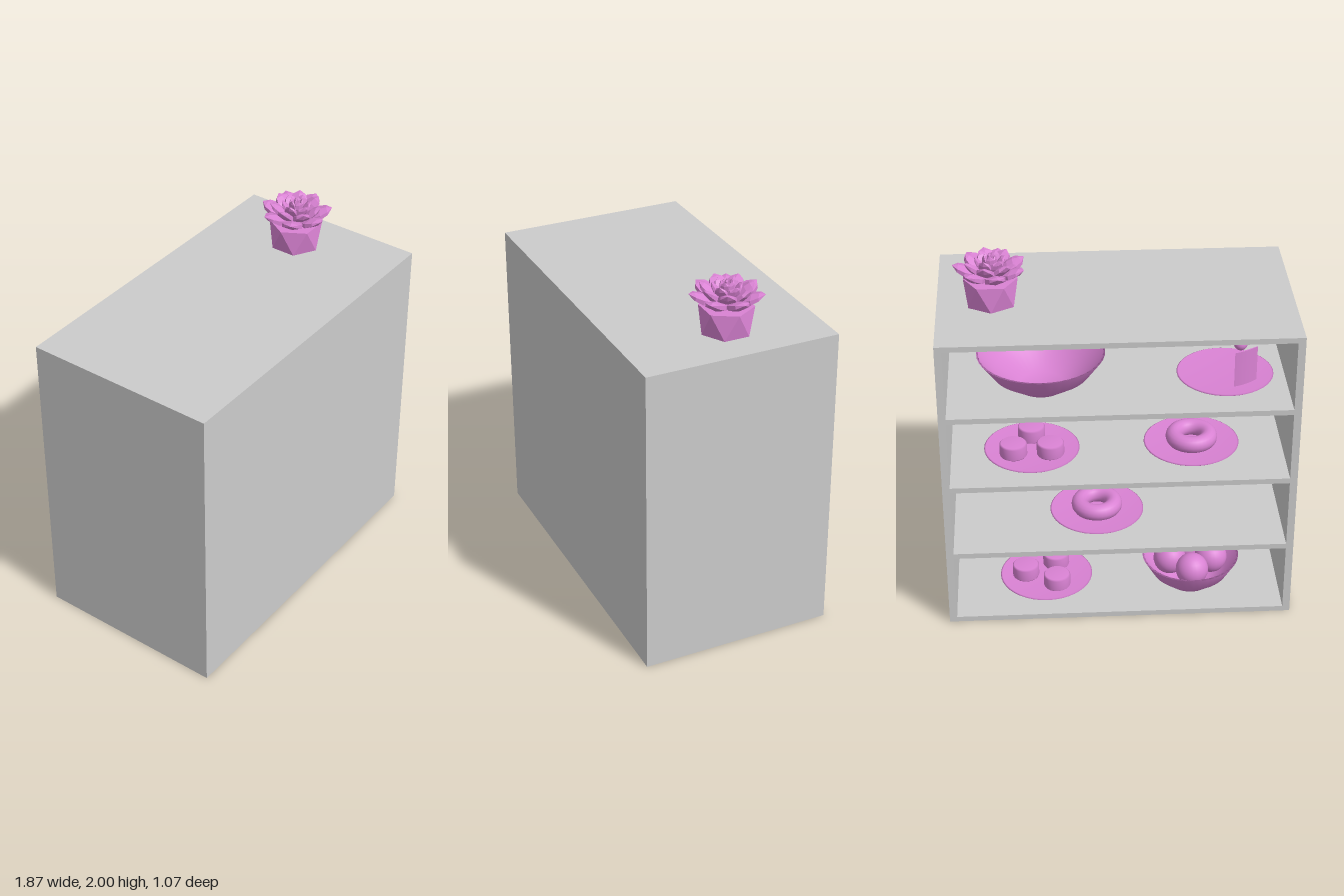
import * as THREE from 'three';

const grey = new THREE.MeshStandardMaterial({ color: 0xcccccc });
const pink = new THREE.MeshStandardMaterial({ color: 0xd982d3, side: THREE.DoubleSide });
const pinkFlat = new THREE.MeshStandardMaterial({ color: 0xd982d3, flatShading: true });

const W = 1.87, H = 1.715, D = 1.056, WALL = 0.04, BOARD = 0.03;
const shelfTop = i => BOARD + i * (H - BOARD) / 4;

function add(parent, name, geometry, material, x = 0, y = 0, z = 0) {
  const mesh = new THREE.Mesh(geometry, material);
  mesh.name = name;
  mesh.position.set(x, y, z);
  parent.add(mesh);
  return mesh;
}

function addGroup(parent, name, x, y, z) {
  const g = new THREE.Group();
  g.name = name;
  g.position.set(x, y, z);
  parent.add(g);
  return g;
}

const lathe = (pts, seg = 40) =>
  new THREE.LatheGeometry(pts.map(p => new THREE.Vector2(p[0], p[1])), seg);

// Carcass: closed front, open back, five boards
function cabinet(parent) {
  const g = addGroup(parent, 'cabinet', 0, 0, 0);
  for (const s of [-1, 1])
    add(g, 'sideWall', new THREE.BoxGeometry(WALL, H, D), grey, s * (W - WALL) / 2, H / 2, 0);
  add(g, 'frontPanel', new THREE.BoxGeometry(W - 2 * WALL, H, WALL), grey, 0, H / 2, (D - WALL) / 2);
  for (let i = 0; i < 5; i++)
    add(g, 'shelf', new THREE.BoxGeometry(W - 2 * WALL, BOARD, D - WALL), grey,
      0, shelfTop(i) - BOARD / 2, -WALL / 2);
}

// Dishes
function plate(parent, x, shelf, z) {
  const g = addGroup(parent, 'plateSetting', x, shelfTop(shelf), z);
  add(g, 'plate', lathe([[0, 0], [0.15, 0], [0.25, 0.012], [0.258, 0.018], [0.25, 0.022], [0.16, 0.01], [0, 0.01]]), pink);
  return g;
}

function bowl(parent, x, shelf, z, r, h, base) {
  const g = addGroup(parent, 'bowlSetting', x, shelfTop(shelf), z);
  const t = 0.012, mid = base + (r - base) * 0.62;
  add(g, 'bowl', lathe([[0, 0], [base, 0], [mid, h * 0.45], [r, h], [r - t, h],
    [mid - t, h * 0.45 + t], [base - t, t], [0, t]]), pink);
  return g;
}

// Three small round cakes in a triangle
function roundCakes(g, phase) {
  const r = 0.074, h = 0.075;
  for (let i = 0; i < 3; i++) {
    const a = phase + i * Math.PI * 2 / 3;
    add(g, 'roundCake', lathe([[0, 0], [r - 0.004, 0], [r, 0.006], [r, h - 0.008], [r - 0.008, h], [0, h]], 28),
      pink, 0.115 * Math.cos(a), 0.01, 0.115 * Math.sin(a));
  }
}

function ringCake(g) {
  const torus = new THREE.TorusGeometry(0.094, 0.046, 16, 36).rotateX(Math.PI / 2);
  add(g, 'ringCake', torus, pink, 0, 0.055, -0.01);
}

// Wedge of cake with a cherry and curved stem
function cakeSlice(g) {
  const rad = THREE.MathUtils.degToRad, h = 0.2;
  const s = new THREE.Shape();
  s.moveTo(0, 0);
  s.absarc(0, 0, 0.323, rad(106), rad(132), false);
  s.closePath();
  const wedge = new THREE.ExtrudeGeometry(s, { depth: h, bevelEnabled: false, curveSegments: 8 }).rotateX(-Math.PI / 2);
  add(g, 'cakeSlice', wedge, pink, 0.057, 0.01, 0.16);
  add(g, 'cherry', new THREE.SphereGeometry(0.036, 18, 12), pink, -0.065, 0.24, -0.1);
  const path = new THREE.QuadraticBezierCurve3(new THREE.Vector3(0, 0, 0),
    new THREE.Vector3(0, 0.07, 0), new THREE.Vector3(0.04, 0.075, 0));
  add(g, 'cherryStem', new THREE.TubeGeometry(path, 8, 0.004, 6), pink, -0.065, 0.27, -0.1);
}

// Pointed, upward curling leaf, rooted at the origin and leaning toward +z
function leafGeometry(length, width, tilt) {
  const geo = lathe([[0, 0], [0.2, 0.02], [0.34, 0.35], [0.5, 0.65], [0.36, 0.85], [0, 1]], 6);
  const p = geo.attributes.position;
  for (let i = 0; i < p.count; i++) {
    const t = p.getY(i);
    p.setXYZ(i, p.getX(i) * width, t * length, p.getZ(i) * width * 0.4 - 0.16 * t * t * length);
  }
  geo.computeVertexNormals();
  return geo.rotateX(THREE.MathUtils.degToRad(tilt));
}

function succulent(parent) {
  const g = addGroup(parent, 'succulent', 0.65, H, -0.045);
  // Faceted pot: the lower ring is turned half a step
  const h = 0.135;
  const pot = new THREE.CylinderGeometry(0.142, 0.136, h, 6, 1);
  const p = pot.attributes.position, c = Math.cos(Math.PI / 6), s = Math.sin(Math.PI / 6);
  for (let i = 0; i < p.count; i++) {
    if (p.getY(i) > 0) continue;
    const x = p.getX(i), z = p.getZ(i);
    p.setXYZ(i, c * x + s * z, p.getY(i), c * z - s * x);
  }
  pot.rotateY(Math.PI / 6);
  add(g, 'pot', pot, pinkFlat, 0, h / 2, 0);
  // Leaf rings: count, length, width, tilt, base height, phase
  const rings = [
    [7, 0.205, 0.125, 79, 0.145, 0],
    [7, 0.17, 0.11, 64, 0.15, 0.45],
    [6, 0.135, 0.085, 44, 0.15, 0.1],
    [5, 0.12, 0.06, 24, 0.155, 0.4],
    [3, 0.115, 0.035, 9, 0.168, 0.2],
  ];
  for (const [n, len, wid, tilt, y, phase] of rings) {
    const geo = leafGeometry(len, wid, tilt);
    for (let i = 0; i < n; i++)
      add(g, 'leaf', geo, pinkFlat, 0, y, 0).rotation.y = Math.PI / 2 + phase + i * Math.PI * 2 / n;
  }
}

export function createModel() {
  const model = new THREE.Group();
  model.name = 'stockedShelfCabinet';
  cabinet(model);
  succulent(model);

  // Top shelf
  bowl(model, 0.4, 3, -0.2, 0.337, 0.2, 0.13);
  cakeSlice(plate(model, -0.577, 3, -0.14));

  // Third shelf
  roundCakes(plate(model, 0.46, 2, -0.17), Math.PI / 2);
  ringCake(plate(model, -0.405, 2, -0.15));

  // Second shelf
  ringCake(plate(model, 0.11, 1, -0.15));

  // Bottom shelf with fruit bowl
  roundCakes(plate(model, 0.398, 0, -0.17), 0);
  const fruit = bowl(model, -0.406, 0, -0.25, 0.268, 0.18, 0.12);
  for (let i = 0; i < 4; i++) {
    const a = i * Math.PI / 2;
    add(fruit, 'fruit', new THREE.SphereGeometry(0.09, 24, 16), pink,
      0.115 * Math.cos(a), 0.155, 0.115 * Math.sin(a));
  }
  return model;
}
